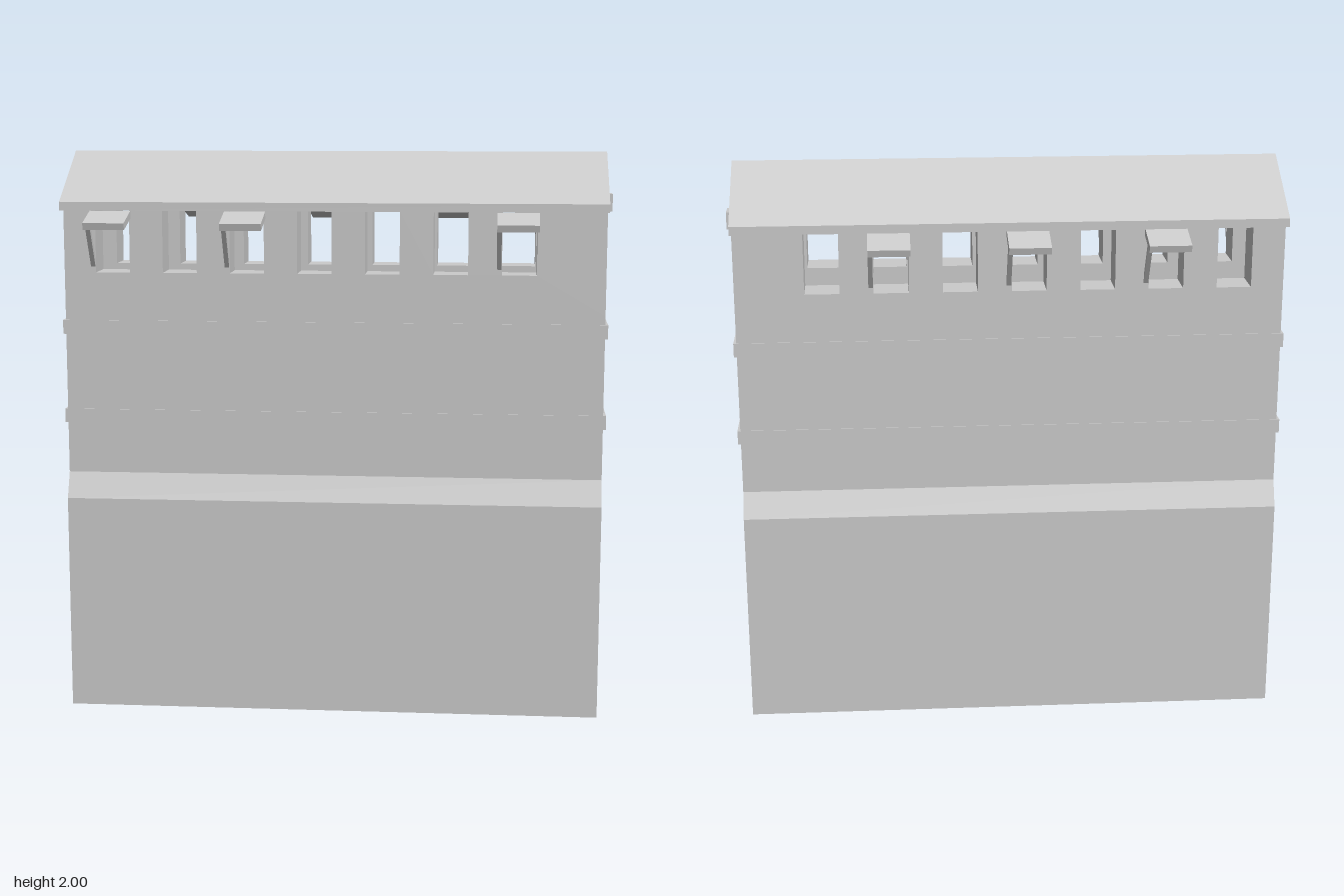
import * as THREE from 'three';

const material = new THREE.MeshStandardMaterial({ color: 0xcccccc, flatShading: true, side: THREE.DoubleSide });

const X0 = -0.96, X1 = 0.945;          // wall ends
const HALF = 0.2475, INNER = 0.1225;   // upper wall and walkway half depths
const FLOOR = 1.44, SILL = 1.58, TOP = 1.8;
const PITCH = 0.2385, OPENING = 0.121;
const openingX = (i) => -0.847 + i * PITCH;

function part(name, geometry, parent) {
  const mesh = new THREE.Mesh(geometry, material);
  mesh.name = name;
  parent.add(mesh);
  return mesh;
}

function box(x0, x1, y0, y1, z0, z1) {
  return new THREE.BoxGeometry(x1 - x0, y1 - y0, z1 - z0)
    .translate((x0 + x1) / 2, (y0 + y1) / 2, (z0 + z1) / 2);
}

// Extrudes a [z, y] profile along x
function extrudeX(points, x0, x1) {
  const shape = new THREE.Shape(points.map(([z, y]) => new THREE.Vector2(z, y)));
  return new THREE.ExtrudeGeometry(shape, { depth: x1 - x0, bevelEnabled: false })
    .rotateY(-Math.PI / 2).translate(x1, 0, 0);
}

// Hollow wall body, open underneath, closed by the walkway floor
function bodyGeometry() {
  const rings = [[0, 0.2875], [0.77, 0.2875], [0.86, HALF], [FLOOR, HALF]];
  const positions = [], index = [];
  for (const [y, d] of rings) positions.push(X0, y, d, X1, y, d, X1, y, -d, X0, y, -d);
  for (let r = 0; r < rings.length - 1; r++) {
    for (let j = 0; j < 4; j++) {
      const a = r * 4 + j, b = r * 4 + (j + 1) % 4;
      index.push(a, b, b + 4, a, b + 4, a + 4);
    }
  }
  const t = (rings.length - 1) * 4;
  index.push(t, t + 1, t + 2, t, t + 2, t + 3);
  const geometry = new THREE.BufferGeometry();
  geometry.setAttribute('position', new THREE.Float32BufferAttribute(positions, 3));
  geometry.setIndex(index);
  const flat = geometry.toNonIndexed();
  flat.computeVertexNormals();
  return flat;
}

// Parapet with seven openings cut down from its top edge
function parapetGeometry() {
  const shape = new THREE.Shape();
  shape.moveTo(X0, FLOOR);
  shape.lineTo(X1, FLOOR);
  shape.lineTo(X1, TOP);
  for (let i = 6; i >= 0; i--) {
    const x = openingX(i);
    shape.lineTo(x + OPENING, TOP);
    shape.lineTo(x + OPENING, SILL);
    shape.lineTo(x, SILL);
    shape.lineTo(x, TOP);
  }
  shape.lineTo(X0, TOP);
  shape.closePath();
  return new THREE.ExtrudeGeometry(shape, { depth: HALF - INNER, bevelEnabled: false });
}

// Small sloping shutter with a diagonal brace on one side
function makeShutter(name) {
  const group = new THREE.Group();
  group.name = name;
  part('shutterBoard', extrudeX([[0.246, 1.772], [0.37, 1.738], [0.377, 1.762], [0.252, 1.797]], 0, 0.145), group);
  part('shutterBrace', extrudeX([[0.2475, 1.6], [0.2475, 1.63], [0.318, 1.753], [0.335, 1.748]], 0, 0.016), group);
  return group;
}

export function createModel() {
  const model = new THREE.Group();
  model.name = 'coveredWall';
  model.position.z = 0.0025;

  part('wallBody', bodyGeometry(), model);

  // String courses
  for (const y of [1.04, 1.36]) {
    part('stringCourse', box(-0.97, 0.955, y, y + 0.05, -HALF - 0.003, HALF + 0.003), model);
  }

  // Parapets and the timber plates on top of them
  for (const side of [1, -1]) {
    const name = side > 0 ? 'front' : 'back';
    part(name + 'Parapet', parapetGeometry(), model).position.z = side > 0 ? INNER : -HALF;
    part(name + 'RoofPlate', box(-0.967, 0.963, TOP, 1.86, -0.034, 0.034), model).position.z = side * 0.161;
  }

  // Gabled roof
  const e = 0.2875;
  part('roof', extrudeX([[e, 1.8], [e, 1.83], [0, 2], [-e, 1.83], [-e, 1.8], [0, 1.97]], -0.965, 0.95), model);

  // Shutters over some of the openings
  for (const i of [0, 2, 6]) {
    const shutter = makeShutter('frontShutter');
    shutter.position.x = openingX(i) - 0.018;
    model.add(shutter);
  }
  for (const i of [1, 3, 5]) {
    const shutter = makeShutter('backShutter');
    shutter.rotation.y = Math.PI;
    shutter.position.x = openingX(i) + OPENING + 0.018;
    model.add(shutter);
  }

  const root = new THREE.Group();
  root.name = 'model';
  root.add(model);
  return root;
}
